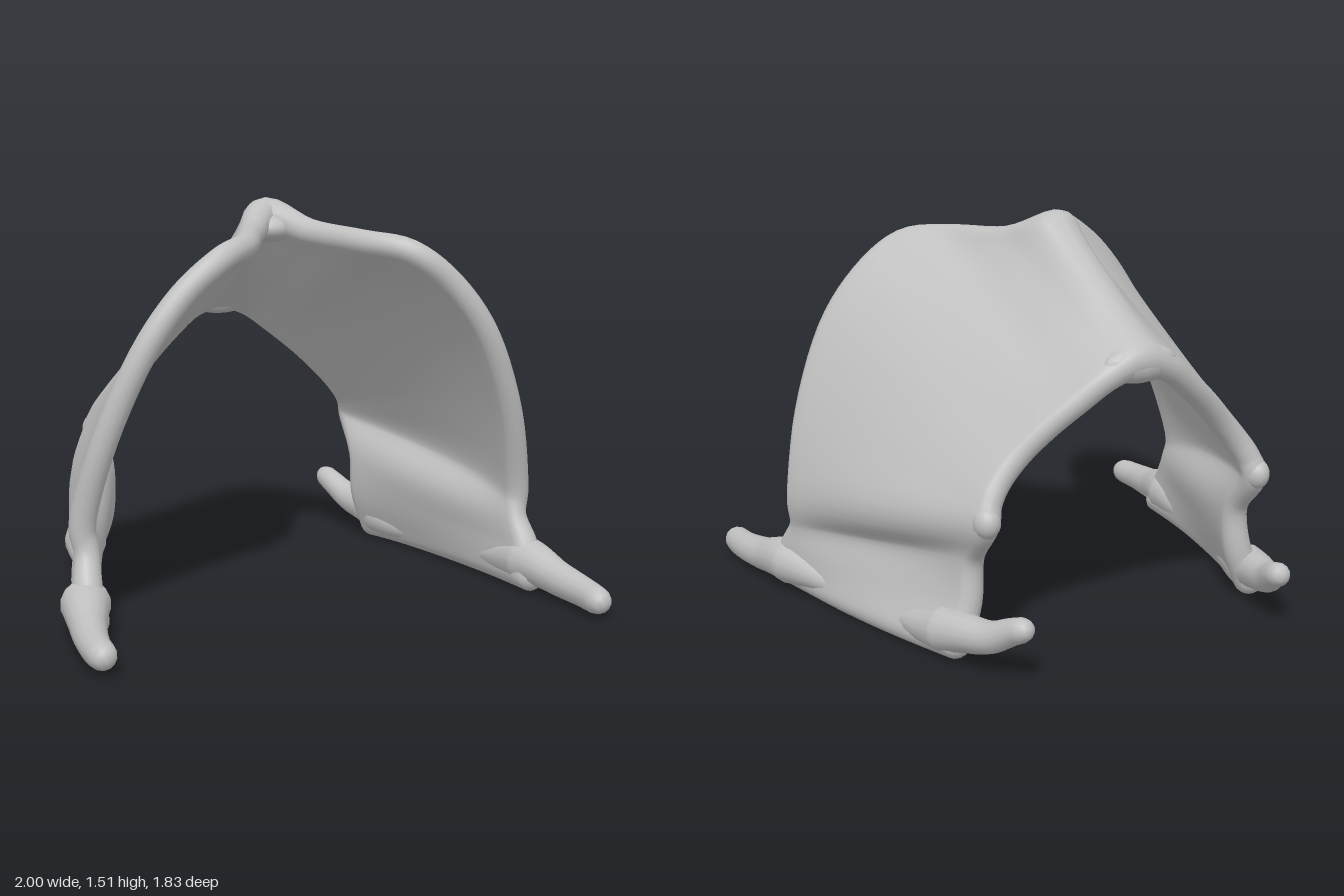
import * as THREE from 'three';
import { mergeVertices } from 'three/addons/utils/BufferGeometryUtils.js';

const V = (p, s = 1) => new THREE.Vector3(p[0] * s, p[1], p[2]);

// Ribs of one side, crest to foot: front point, back point, bulge, half thickness
const RIBS = [
  [[0, 1.455, -0.15], [0, 1.08, -0.735], 0, 0.068],
  [[0.12, 1.395, 0.01], [0.12, 1.035, -0.735], 0, 0.052],
  [[0.235, 1.375, 0.27], [0.23, 0.95, -0.705], 0, 0.048],
  [[0.37, 1.345, 0.41], [0.335, 0.86, -0.665], 0, 0.048],
  [[0.53, 1.22, 0.44], [0.425, 0.77, -0.635], -0.005, 0.048],
  [[0.675, 1.02, 0.44], [0.5, 0.685, -0.63], -0.005, 0.048],
  [[0.8, 0.72, 0.39], [0.55, 0.61, -0.645], 0.01, 0.048],
  [[0.87, 0.42, 0.32], [0.57, 0.53, -0.655], 0.035, 0.05],
  [[0.86, 0.29, 0.33], [0.57, 0.39, -0.545], -0.01, 0.048],
  [[0.875, 0.18, 0.39], [0.585, 0.22, -0.54], 0.01, 0.055],
  [[0.87, 0.07, 0.44], [0.64, 0.075, -0.55], 0.025, 0.06],
];

// Arched shell: rounded slab sections swept from the right foot over the crest to the left foot
function shellGeometry() {
  const all = [
    ...RIBS.slice(1).reverse().map((r) => [r, -1]),
    ...RIBS.map((r) => [r, 1]),
  ];
  const curve = (pick) => new THREE.CatmullRomCurve3(all.map(pick), false, 'catmullrom', 0.5);
  const front = curve(([r, s]) => V(r[0], s));
  const back = curve(([r, s]) => V(r[1], s));
  const extra = curve(([r, s]) => new THREE.Vector3(r[2] * s, r[3], 0));

  const centre = (u, v) => {
    const p = front.getPoint(u).lerp(back.getPoint(u), v);
    p.x += extra.getPoint(u).x * 4 * v * (1 - v);
    return p;
  };
  const frame = (u, v) => {
    const d = 0.004;
    const slope = (a, b) => b.sub(a).normalize();
    const tu = slope(centre(Math.max(0, u - d), v), centre(Math.min(1, u + d), v));
    const tv = slope(centre(u, Math.max(0, v - d)), centre(u, Math.min(1, v + d)));
    const n = tu.clone().cross(tv).normalize();
    // The wall is a little thinner between its two rims
    const wall = 0.78 + 0.22 * Math.abs(2 * v - 1) ** 4;
    return { c: centre(u, v), tu, n, e: n.clone().cross(tu), wall };
  };

  // Rows: u, outward shift and thickness factor; the feet are rounded off
  const rows = [];
  const angles = [1, 0.8, 0.6, 0.4, 0.2].map((a) => (a * Math.PI) / 2);
  for (const a of angles) rows.push([0, -Math.sin(a), Math.cos(a)]);
  const U = 100;
  for (let i = 0; i <= U; i++) rows.push([i / U, 0, 1]);
  for (const a of [...angles].reverse()) rows.push([1, Math.sin(a), Math.cos(a)]);

  const N = 20, CAP = 8, pos = [], index = [];
  for (const [u, shift, thin] of rows) {
    const h = extra.getPoint(u).y;
    const put = (f, a, side) => {
      const p = f.c.clone().addScaledVector(f.tu, shift * h)
        .addScaledVector(f.n, Math.cos(a) * h * thin * f.wall)
        .addScaledVector(f.e, Math.sin(a) * h * thin * side);
      pos.push(p.x, p.y, p.z);
    };
    for (let j = 0; j <= N; j++) put(frame(u, j / N), 0, 1);
    const b = frame(u, 1), f = frame(u, 0);
    for (let k = 1; k < CAP; k++) put(b, (k / CAP) * Math.PI, 1);
    for (let j = N; j >= 0; j--) put(frame(u, j / N), Math.PI, 1);
    for (let k = CAP - 1; k > 0; k--) put(f, (k / CAP) * Math.PI, -1);
  }
  const L = 2 * (N + 1) + 2 * (CAP - 1);
  for (let i = 0; i < rows.length - 1; i++) {
    for (let j = 0; j < L; j++) {
      const a = i * L + j, b = i * L + ((j + 1) % L), c = b + L, d = a + L;
      index.push(a, d, c, a, c, b);
    }
  }
  const g = new THREE.BufferGeometry();
  g.setAttribute('position', new THREE.Float32BufferAttribute(pos, 3));
  g.setIndex(index);
  g.computeVertexNormals();
  return g;
}

// Tapered, round-tipped horn along a smooth path
function hornGeometry(points, radii, side) {
  const path = new THREE.CatmullRomCurve3(points.map((p) => V(p, side)));
  const S = 60, R = 14;
  let g = new THREE.TubeGeometry(path, S, 1, R);
  const pos = g.attributes.position, p = new THREE.Vector3();
  for (let i = 0; i <= S; i++) {
    const t = i / S, c = path.getPointAt(t);
    const k = t * (radii.length - 1), q = Math.min(Math.floor(k), radii.length - 2);
    const tip = Math.max(0, (t - 0.92) / 0.08);
    const r = THREE.MathUtils.lerp(radii[q], radii[q + 1], k - q) * Math.sqrt(Math.max(0, 1 - tip * tip));
    for (let j = 0; j <= R; j++) {
      const m = i * (R + 1) + j;
      p.fromBufferAttribute(pos, m).sub(c).multiplyScalar(r).add(c);
      pos.setXYZ(m, p.x, p.y, p.z);
    }
  }
  g.deleteAttribute('uv');
  g.deleteAttribute('normal');
  g = mergeVertices(g, 1e-5);
  g.computeVertexNormals();
  return g;
}

export function createModel() {
  const model = new THREE.Group();
  model.name = 'archedShield';
  const grey = new THREE.MeshStandardMaterial({ color: 0xc0c0c0 });
  grey.name = 'paleGrey';
  const add = (name, geometry) => {
    const mesh = new THREE.Mesh(geometry, grey);
    mesh.name = name;
    model.add(mesh);
  };
  const knob = (size, at) => new THREE.SphereGeometry(1, 20, 14).scale(...size).translate(...at);

  add('shell', shellGeometry());
  // Small pad at the bottom of the front notch, and the lip under the rear end of the crest
  add('notchPad', knob([0.1, 0.055, 0.09], [0, 1.405, -0.115]));
  add('rearLip', knob([0.15, 0.07, 0.058], [0, 1.065, -0.742]));

  for (const [label, side] of [['left', 1], ['right', -1]]) {
    // Long horn reaching forward, growing out of the foot
    add(label + 'FrontHorn', hornGeometry(
      [[0.8, 0.09, 0.05], [0.85, 0.11, 0.26], [0.89, 0.12, 0.42], [0.925, 0.092, 0.6], [0.943, 0.08, 0.75], [0.94, 0.075, 0.91]],
      [0.03, 0.06, 0.092, 0.068, 0.057, 0.05], side));
    // Short horn curving back and up
    add(label + 'BackHorn', hornGeometry(
      [[0.73, 0.085, -0.22], [0.68, 0.1, -0.42], [0.635, 0.13, -0.6], [0.595, 0.15, -0.73], [0.555, 0.2, -0.83], [0.53, 0.235, -0.915]],
      [0.03, 0.06, 0.085, 0.068, 0.053, 0.042], side));
    // Knob on the rear edge
    add(label + 'RearKnob', knob([0.05, 0.06, 0.06], [0.572 * side, 0.55, -0.665]));
  }
  return model;
}
